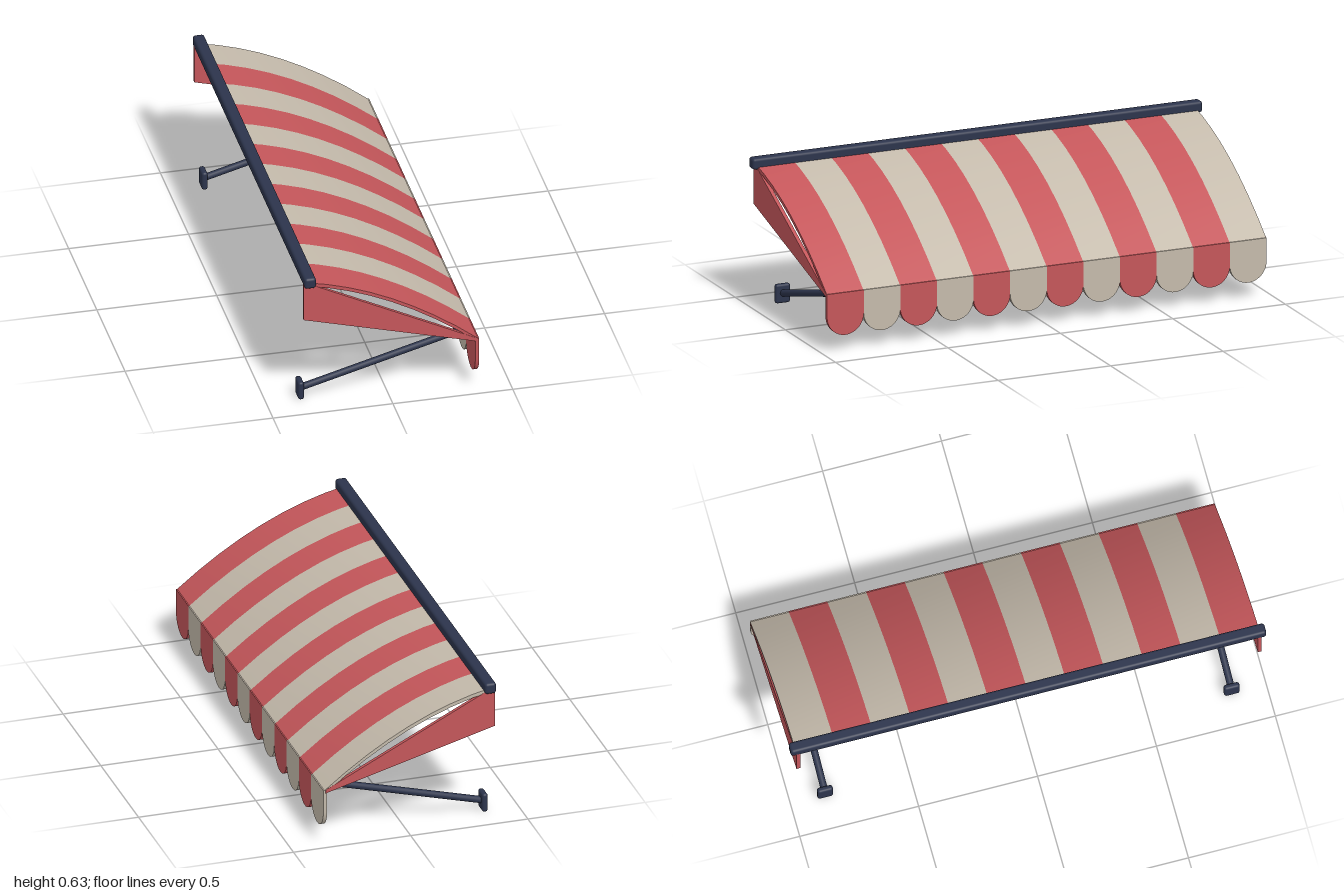
import * as THREE from 'three';
import { toCreasedNormals } from 'three/addons/utils/BufferGeometryUtils.js';
import { RoundedBoxGeometry } from 'three/addons/geometries/RoundedBoxGeometry.js';

const flat = (name, color) => {
  const m = new THREE.MeshStandardMaterial({ color });
  m.name = name;
  return m;
};

const STRIPES = 12;
const HALF = 0.977; // half length of the fabric
const PITCH = (2 * HALF) / STRIPES;
const SHEET = 0.016; // fabric thickness

// height of the fabric's top surface: a straight slope with a gentle bulge
const canopyY = (x) => 0.427 - 0.5 * x + 0.057 * (1 - (x / 0.36) ** 2);

const extrude = (shape, depth, curveSegments = 12) =>
  new THREE.ExtrudeGeometry(shape, { depth, bevelEnabled: false, curveSegments });

export function createModel() {
  const red = flat('red fabric', 0xc4565a);
  const cream = flat('cream fabric', 0xc4baab);
  const navy = flat('navy metal', 0x2c344c);

  const model = new THREE.Group();
  model.name = 'awning';
  const add = (name, geometry, material, x = 0, y = 0, z = 0) => {
    const mesh = new THREE.Mesh(geometry, material);
    mesh.name = name;
    mesh.position.set(x, y, z);
    model.add(mesh);
    return mesh;
  };

  // arched canopy profile, top edge out and underside back
  const top = [];
  for (let i = 0; i <= 8; i++) {
    const x = -0.36 + i * 0.09;
    top.push(new THREE.Vector2(x, canopyY(x)));
  }
  const under = top.map((p) => new THREE.Vector2(p.x, p.y - SHEET)).reverse();
  const canopy = toCreasedNormals(extrude(new THREE.Shape([...top, ...under]), PITCH), 0.5);

  // hanging valance tab with a round lower end
  const r = PITCH / 2;
  const tab = new THREE.Shape();
  tab.moveTo(-r, 0.247);
  tab.lineTo(-r, 0.067 + r);
  tab.absarc(0, 0.067 + r, r, Math.PI, 2 * Math.PI, false);
  tab.lineTo(r, 0.247);
  const valance = toCreasedNormals(extrude(tab, SHEET).rotateY(Math.PI / 2), 0.5);

  // alternating stripes, cream at the back end and red at the front end
  for (let i = 0; i < STRIPES; i++) {
    const z = -HALF + i * PITCH;
    const material = i % 2 ? red : cream;
    add('canopyStripe', canopy, material, 0, 0, z);
    add('valanceTab', valance, material, 0.349, 0, z + r);
  }

  // tapered side panels
  const panel = new THREE.Shape([
    new THREE.Vector2(-0.367, 0.432),
    new THREE.Vector2(0.355, 0.234),
    new THREE.Vector2(0.355, 0.249),
    new THREE.Vector2(-0.367, 0.61),
  ]);
  const panelGeometry = extrude(panel, SHEET);
  add('sidePanel', panelGeometry, red, 0, 0, HALF - SHEET + 0.001);
  add('sidePanel', panelGeometry, red, 0, 0, -HALF - 0.001);

  // wall rail
  add('wallRail', new RoundedBoxGeometry(0.048, 0.048, 2, 3, 0.012), navy, -0.343, 0.611, 0);

  // support arms with wall brackets
  const from = new THREE.Vector2(-0.355, 0.041);
  const to = new THREE.Vector2(0.332, 0.228);
  const span = to.clone().sub(from);
  const armGeometry = new THREE.CylinderGeometry(0.0145, 0.0145, span.length(), 16);
  const bracketGeometry = new RoundedBoxGeometry(0.024, 0.081, 0.065, 3, 0.01);
  for (const side of [1, -1]) {
    const z = side * 0.855;
    const arm = add('supportArm', armGeometry, navy, (from.x + to.x) / 2, (from.y + to.y) / 2, z);
    arm.rotation.z = span.angle() - Math.PI / 2;
    add('wallBracket', bracketGeometry, navy, -0.355, 0.0405, z);
  }
  return model;
}
